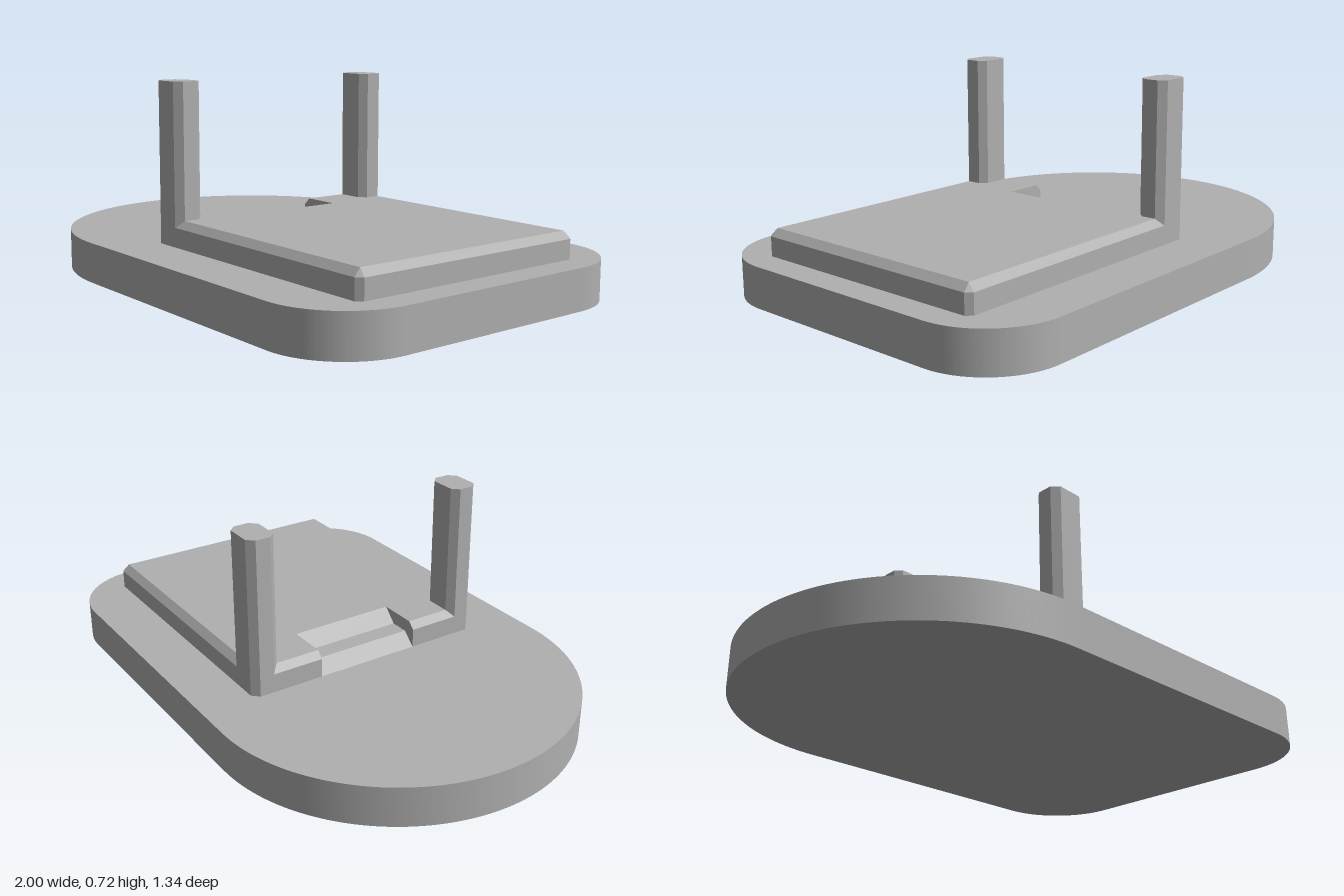
import * as THREE from 'three';
import { toCreasedNormals } from 'three/addons/utils/BufferGeometryUtils.js';
import { ConvexGeometry } from 'three/addons/geometries/ConvexGeometry.js';

const BASE_TOP = 0.145, BEVEL_Y = 0.215, SLAB_TOP = 0.24;
const BACK = -0.2, END = 0.895, SIDE = 0.475, LIP = -0.03, NOTCH = 0.2, C = 0.025;

export function createModel() {
  const grey = new THREE.MeshStandardMaterial({ color: 0xb0b0b0 });
  grey.name = 'plain grey';
  const model = new THREE.Group();
  model.name = 'stand';
  const add = (name, geometry) => {
    const mesh = new THREE.Mesh(geometry, grey);
    mesh.name = name;
    model.add(mesh);
  };
  const hull = (pts) => new ConvexGeometry(pts.map((p) => new THREE.Vector3(...p)));

  // Extrude an upright outline; the outline's y is -z in the model
  const upright = (shape, y0, y1) => {
    const g = new THREE.ExtrudeGeometry(shape, { depth: y1 - y0, bevelEnabled: false, curveSegments: 40 });
    return g.rotateX(-Math.PI / 2).translate(0, y0, 0);
  };

  // Base: round at one end, two rounded corners at the other
  const R = 0.67, r = 0.28;
  const outline = new THREE.Shape();
  outline.moveTo(R - 1, -R);
  outline.lineTo(1 - r, -R);
  outline.absarc(1 - r, r - R, r, -Math.PI / 2, 0, false);
  outline.lineTo(1, R - r);
  outline.absarc(1 - r, R - r, r, 0, Math.PI / 2, false);
  outline.lineTo(R - 1, R);
  outline.absarc(R - 1, 0, R, Math.PI / 2, Math.PI * 1.5, false);
  add('base', toCreasedNormals(upright(outline, 0, BASE_TOP), 0.5));

  // Raised plate with chamfered corners and a bevelled rim
  const plate = [];
  for (const s of [-1, 1]) {
    for (const y of [BASE_TOP, BEVEL_Y]) {
      plate.push([LIP, y, s * SIDE], [END - 0.02, y, s * SIDE], [END, y, s * (SIDE - 0.02)]);
    }
    plate.push([LIP, SLAB_TOP, s * (SIDE - C)], [END - C, SLAB_TOP, s * (SIDE - C)]);
  }
  add('plate', hull(plate));

  for (const s of [-1, 1]) {
    const side = s > 0 ? 'front' : 'rear';

    // Plate wing beside the notch
    const wing = [];
    for (const y of [BASE_TOP, BEVEL_Y]) {
      wing.push([LIP, y, s * NOTCH], [BACK, y, s * NOTCH], [BACK, y, s * (SIDE - C)],
        [BACK + C, y, s * SIDE], [LIP, y, s * SIDE]);
    }
    for (const x of [BACK + C, LIP]) {
      wing.push([x, SLAB_TOP, s * NOTCH], [x, SLAB_TOP, s * (SIDE - C)]);
    }
    add(side + 'PlateWing', hull(wing));

    // Eight-sided post
    const w = 0.0725, d = 0.0525;
    const section = new THREE.Shape([
      [w - C, -d], [w, C - d], [w, d - C], [w - C, d],
      [C - w, d], [-w, d - C], [-w, C - d], [C - w, -d],
    ].map(([x, y]) => new THREE.Vector2(x, y)));
    add(side + 'Post', upright(section, BASE_TOP, 0.725).translate(BACK + w, 0, s * (SIDE - d)));
  }

  // Stepped ramp filling the notch
  const ramp = new THREE.Shape([
    [BACK, BASE_TOP], [LIP, BASE_TOP], [LIP, SLAB_TOP],
    [-0.08, 0.19], [-0.15, 0.19],
  ].map(([x, y]) => new THREE.Vector2(x, y)));
  add('notchRamp', new THREE.ExtrudeGeometry(ramp, { depth: 2 * NOTCH, bevelEnabled: false }).translate(0, 0, -NOTCH));

  return model;
}
